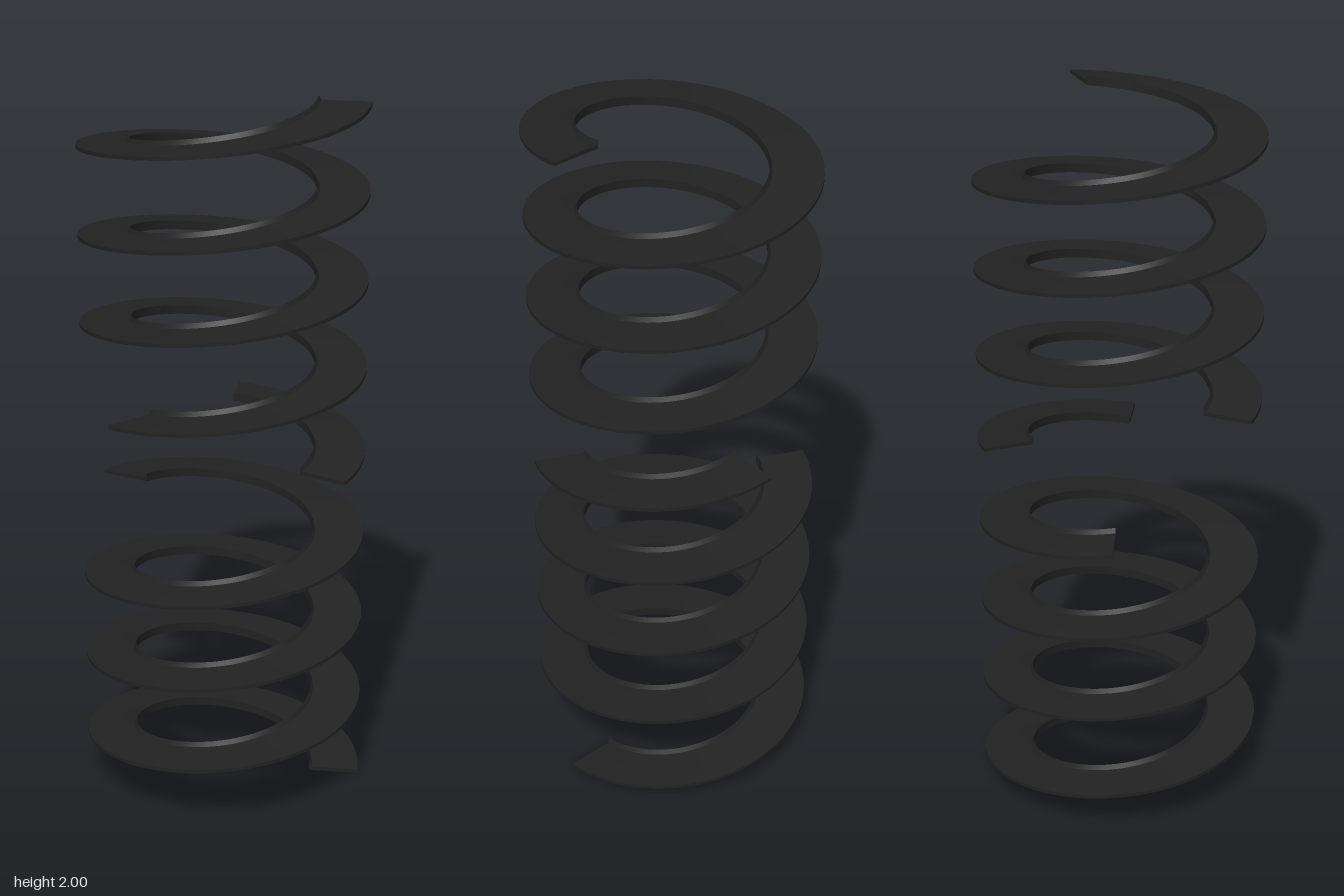
import * as THREE from 'three';
import { toCreasedNormals } from 'three/addons/utils/BufferGeometryUtils.js';

const PITCH = 0.247; // rise per turn
const STEPS = 96;    // cross-sections per turn

// Cross-section (radius, height): thin flat flange with a raised inner lip
const PROFILE = [[0.252, 0], [0.394, 0], [0.394, 0.01], [0.259, 0.012], [0.252, 0.025]];

// Sweep the cross-section along the helix between two turn counts
function coilGeometry(fromTurn, toTurn) {
  const n = PROFILE.length;
  const steps = Math.ceil((toTurn - fromTurn) * STEPS);
  const positions = [];
  const index = [];
  for (let j = 0; j <= steps; j++) {
    const turn = fromTurn + (toTurn - fromTurn) * j / steps;
    const a = turn * Math.PI * 2;
    for (const [r, h] of PROFILE) {
      positions.push(r * Math.cos(a), turn * PITCH + h, -r * Math.sin(a));
    }
  }
  for (let j = 0; j < steps; j++) {
    for (let i = 0; i < n; i++) {
      const k = (i + 1) % n;
      const a = j * n + i, b = j * n + k, c = b + n, d = a + n;
      index.push(a, d, c, a, c, b);
    }
  }
  // End caps
  const last = steps * n;
  for (let i = 1; i < n - 1; i++) {
    index.push(0, i, i + 1, last, last + i + 1, last + i);
  }
  const geometry = new THREE.BufferGeometry();
  geometry.setAttribute('position', new THREE.Float32BufferAttribute(positions, 3));
  geometry.setIndex(index);
  return toCreasedNormals(geometry, 0.5);
}

export function createModel() {
  const model = new THREE.Group();
  model.name = 'brokenSpiral';
  const material = new THREE.MeshStandardMaterial({ color: 0x222222 });

  // Three pieces of one eight-turn spiral, with gaps between them
  const pieces = [
    ['lowerCoil', 0, 3.437],
    ['middleFragment', 3.925, 4.25],
    ['upperCoil', 4.625, 8],
  ];
  for (const [name, from, to] of pieces) {
    const mesh = new THREE.Mesh(coilGeometry(from, to), material);
    mesh.name = name;
    model.add(mesh);
  }
  return model;
}
